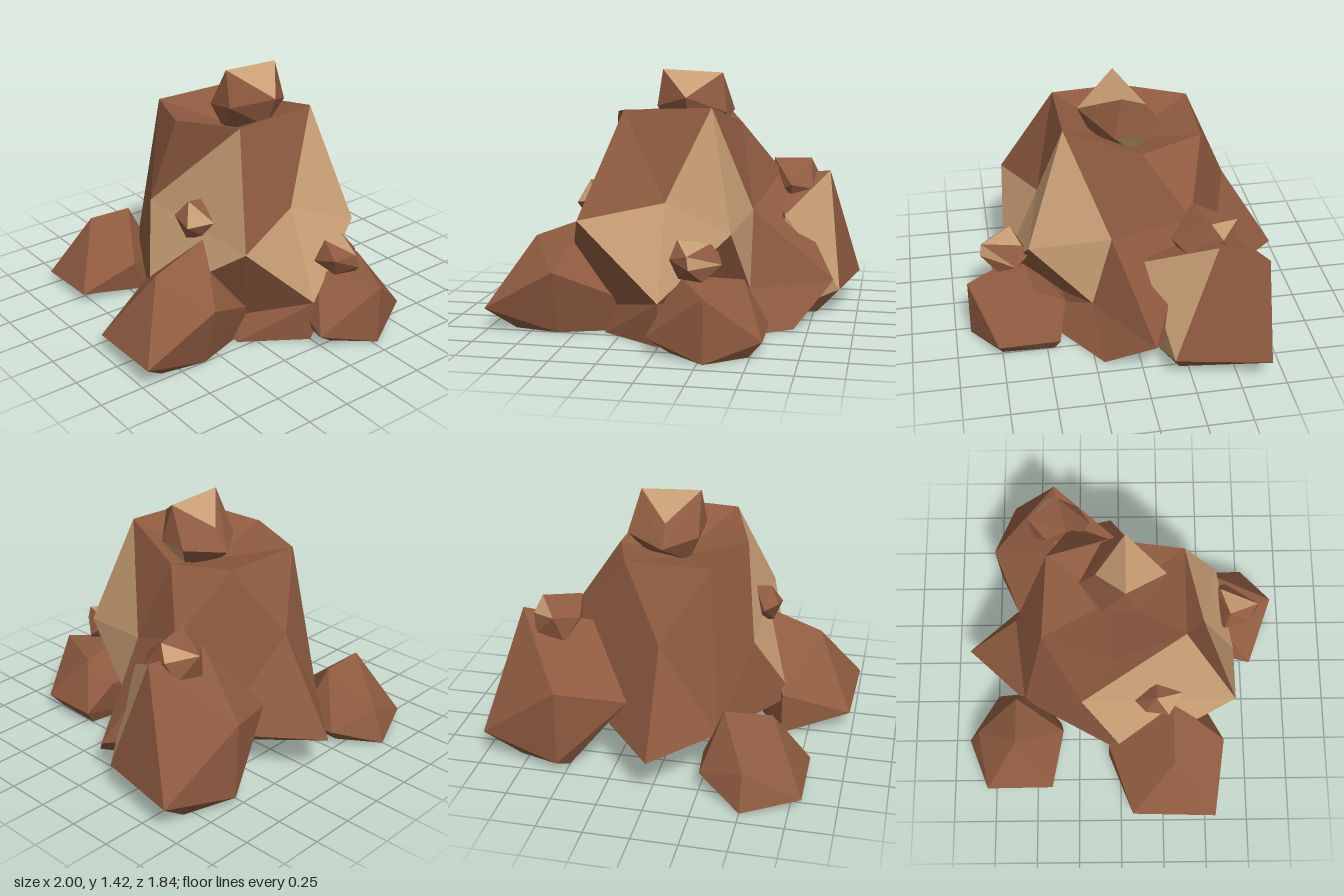
import * as THREE from 'three';
import { ConvexGeometry } from 'three/addons/geometries/ConvexGeometry.js';

const brown = new THREE.MeshStandardMaterial({ color: 0x8f5b40 });
const tan = new THREE.MeshStandardMaterial({ color: 0xc89e74 });
brown.name = 'brownStone';
tan.name = 'tanStone';

const vec = (p) => new THREE.Vector3(...p);

// Zip an upper and a lower ring together; 'U' or 'L' says which ring steps on.
function band(upper, lower, steps, tanFaces = []) {
  let u = 0, l = 0;
  return [...steps].map((s, i) => {
    const a = upper[u % upper.length], b = lower[l % lower.length];
    const c = s === 'U' ? upper[++u % upper.length] : lower[++l % lower.length];
    return { corners: [a, b, c], tan: tanFaces.includes(i) };
  });
}

// Close a ring with a fan of triangles around a centre point.
function cap(centre, ring, up, tanFaces = []) {
  return ring.map((p, i) => {
    const q = ring[(i + 1) % ring.length];
    return { corners: up ? [centre, p, q] : [centre, q, p], tan: tanFaces.includes(i) };
  });
}

function facesToMesh(name, faces) {
  const geo = new THREE.BufferGeometry().setFromPoints(faces.flatMap((f) => f.corners.map(vec)));
  geo.computeVertexNormals();
  faces.forEach((f, i) => geo.addGroup(i * 3, 3, f.tan ? 1 : 0));
  const mesh = new THREE.Mesh(geo, [brown, tan]);
  mesh.name = name;
  return mesh;
}

// Convex rock; the face best matching each given direction is tan.
function rock(name, points, tanDirs = []) {
  const geo = new ConvexGeometry(points.map(vec));
  const pos = geo.attributes.position, nor = geo.attributes.normal;
  const faces = [];
  for (let i = 0; i < pos.count; i += 3) {
    const corners = [0, 1, 2].map((k) => new THREE.Vector3().fromBufferAttribute(pos, i + k).toArray());
    faces.push({ corners, normal: new THREE.Vector3().fromBufferAttribute(nor, i), tan: false });
  }
  for (const d of tanDirs) {
    const dir = vec(d).normalize();
    const best = Math.max(...faces.map((f) => f.normal.dot(dir)));
    faces.forEach((f) => { if (f.normal.dot(dir) > best - 1e-4) f.tan = true; });
  }
  return facesToMesh(name, faces);
}

export function createModel() {
  const group = new THREE.Group();
  group.name = 'rockPile';

  // Main boulder: four rings from the dished crown down to a hollow underside
  const crown = [[-0.25, 1.22, 0.35], [0.23, 1.24, 0.35], [0.34, 1.12, -0.06],
    [0.23, 1.15, -0.4], [-0.24, 1.15, -0.42], [-0.38, 1.17, -0.05]];
  const waist = [[-0.44, 0.66, 0.65], [0, 0.74, 0.48], [0.37, 0.6, 0.57], [0.43, 0.65, 0.12],
    [0.54, 0.82, -0.29], [0, 0.76, -0.59], [-0.32, 0.25, -0.57], [-0.45, 0.65, -0.22]];
  const skirt = [[-0.3, 0.15, 0.42], [0, 0.24, 0.69], [0.43, 0.23, 0.23], [0.87, 0.23, -0.05],
    [0.4, 0.25, -0.45], [0, 0.23, -0.91], [-0.65, 0.2, 0.05]];
  const foot = [[-0.34, 0, 0.45], [0, 0, 0.67], [0.67, 0, 0.2], [0.5, 0, -0.08],
    [0.32, 0.14, -0.34], [0, 0.17, -0.6], [-0.5, 0.18, 0.02]];
  group.add(facesToMesh('mainBoulder', [
    ...cap([0.02, 1.04, -0.03], crown, true),
    ...band(crown, waist, 'LULLULULULLUUL', [2, 3, 13]),
    ...band(waist, skirt, 'LUULULULULULUUL', [1, 2, 4, 13]),
    ...band(skirt, foot, 'UL'.repeat(7)),
    ...cap([0, 0.36, 0.1], foot, false, [1]),
  ]));

  // Stone on the crown
  group.add(rock('topRock', [
    [-0.1, 1.42, 0.03], [0.24, 1.405, 0.03], [0.07, 1.28, 0.25], [0.07, 1.27, -0.13],
    [0.07, 1.15, -0.22], [0.29, 1.19, -0.1], [0.27, 1.19, 0.08], [-0.12, 1.22, 0.09],
    [-0.11, 1.19, -0.1], [0.07, 1.1, 0.17], [0.2, 1.06, -0.03], [-0.05, 1.04, -0.06],
  ], [[0, 0.85, 0.5], [0, 0.75, -0.7], [0.8, -0.6, 0]]));

  // Large rocks around the base
  group.add(rock('sideRockNegativeX', [
    [-1, 0.13, 0.555], [-0.98, 0.1, 0.07], [-0.77, 0.5, 0.305], [-0.45, 0.62, 0.3],
    [-0.6, 0.36, 0.6], [-0.6, 0.25, -0.07], [-0.6, 0, -0.07], [-0.26, 0.2, 0.45],
    [-0.6, 0, 0.5], [-0.85, 0, 0.45], [-0.85, 0, 0.15], [-0.3, 0, 0.4],
  ]));
  group.add(rock('sideRockPositiveX', [
    [0.82, 0.81, -0.38], [0.42, 0.77, -0.38], [0.59, 0.6, -0.03], [0.9, 0.15, -0.15],
    [0.995, 0.15, -0.66], [0.545, 0.49, -0.75], [0.18, 0.4, -0.6], [0.77, 0, -0.2],
    [0.8, 0, -0.6], [0.55, 0.05, -0.74], [0.5, 0, -0.65], [0.55, 0, -0.1],
  ], [[0.65, 0.35, 0.7], [0.2, -0.3, 0.9]]));
  group.add(rock('backRock', [
    [-0.62, 0.43, -0.61], [-0.36, 0.42, -0.61], [-0.5, 0.2, -0.85], [-0.5, 0, -0.92],
    [-0.81, 0.05, -0.8], [-0.81, 0.07, -0.41], [-0.25, 0.1, -0.74], [-0.23, 0.1, -0.52],
    [-0.5, 0.2, -0.34], [-0.4, 0, -0.36], [-0.75, 0, -0.55], [-0.35, 0, -0.7],
  ]));
  group.add(rock('frontRock', [
    [0.28, 0.34, 0.915], [-0.04, 0.09, 0.8], [0.565, 0.09, 0.77], [0.56, 0.09, 0.43],
    [0.44, 0.36, 0.55], [0.1, 0.38, 0.6], [0.4, 0.25, 0.38], [0.05, 0.2, 0.4],
    [0.28, 0, 0.915], [0.08, 0, 0.75], [0.49, 0, 0.75], [0.5, 0, 0.46], [0.1, 0, 0.4],
  ]));

  // Small stones resting on the large ones
  group.add(rock('frontPebble', [
    [0.1, 0.58, 0.65], [0.265, 0.555, 0.6], [0.335, 0.455, 0.64], [0.25, 0.38, 0.74],
    [0.12, 0.39, 0.72], [0.055, 0.455, 0.62], [0.19, 0.46, 0.83], [0.08, 0.5, 0.76],
    [0.18, 0.53, 0.82], [0.3, 0.52, 0.56], [0.18, 0.42, 0.55],
  ], [[0, 1, 0.2], [0.65, 0.1, 0.75]]));
  group.add(rock('pebblePositiveX', [
    [0.5, 0.89, -0.3], [0.71, 0.885, -0.36], [0.745, 0.8, -0.42], [0.6, 0.83, -0.53],
    [0.48, 0.8, -0.42], [0.61, 0.75, -0.17], [0.73, 0.72, -0.24], [0.72, 0.7, -0.48],
    [0.55, 0.68, -0.5], [0.52, 0.7, -0.25], [0.61, 0.62, -0.24],
  ], [[0.7, 0.5, -0.5]]));
  group.add(rock('pebbleNegativeX', [
    [-0.48, 0.81, 0.2], [-0.54, 0.69, 0.27], [-0.42, 0.72, 0.35], [-0.46, 0.7, 0.08],
    [-0.385, 0.8, 0.2], [-0.53, 0.72, 0.14], [-0.5, 0.6, 0.2], [-0.4, 0.6, 0.3], [-0.4, 0.6, 0.15],
  ], [[-0.5, 0.3, 0.7]]));

  return group;
}
